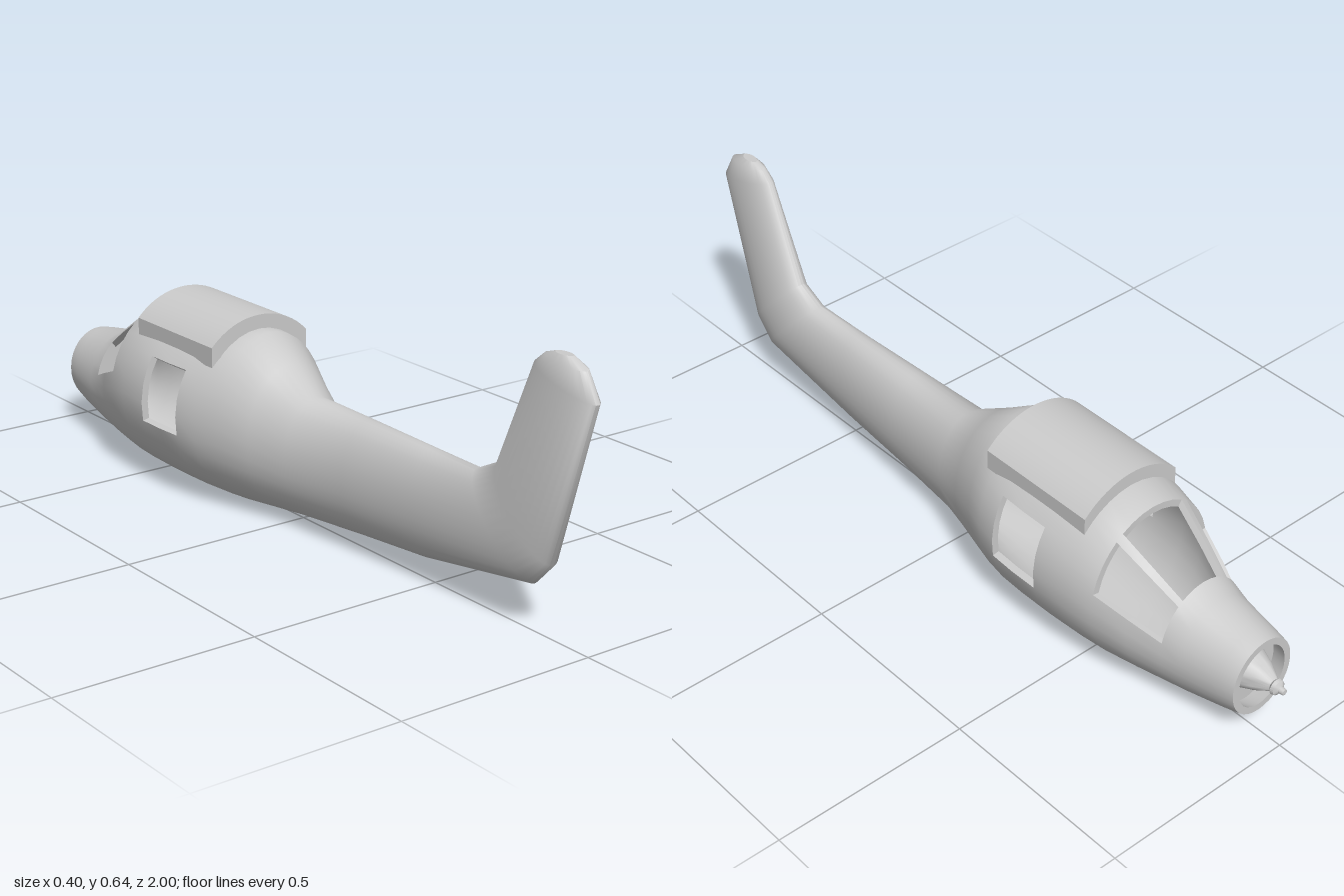
import * as THREE from 'three';
import { toCreasedNormals } from 'three/addons/utils/BufferGeometryUtils.js';

const WALL = 0.018;

// Hull stations, nose to fin tip: top z, top y, bottom z, bottom y, half width
const STATIONS = [
  [-0.93, 0.26, -0.93, 0.058, 0.09],
  [-0.89, 0.268, -0.89, 0.047, 0.098],
  [-0.79, 0.285, -0.79, 0.025, 0.115],
  [-0.74, 0.305, -0.74, 0.016, 0.125],
  [-0.66, 0.36, -0.66, 0.009, 0.154],
  [-0.575, 0.415, -0.575, 0.002, 0.181],
  [-0.505, 0.435, -0.505, 0, 0.193],
  [-0.405, 0.435, -0.405, 0, 0.2],
  [-0.33, 0.435, -0.33, 0, 0.2],
  [-0.26, 0.435, -0.26, 0, 0.196],
  [-0.2, 0.435, -0.2, 0.001, 0.184],
  [-0.14, 0.435, -0.14, 0.003, 0.165],
  [-0.05, 0.378, -0.05, 0.011, 0.13],
  [0.05, 0.32, 0.05, 0.02, 0.096],
  [0.25, 0.32, 0.25, 0.037, 0.078],
  [0.48, 0.318, 0.48, 0.055, 0.06],
  [0.635, 0.315, 0.83, 0.11, 0.053],
  [0.705, 0.35, 0.885, 0.168, 0.049],
  [0.81, 0.605, 1.0, 0.555, 0.033],
  [0.84, 0.63, 0.965, 0.618, 0.024],
  [0.87, 0.64, 0.92, 0.64, 0.012],
];
const CABIN_END = 13; // last station with an inner wall

// Angles measured from the roof line, including the window edges
const HALF = [0, 10, 20, 30, 37, 46, 56, 66, 76, 88, 100.7, 112, 124, 135, 147, 158, 169, 180];
const ANGLES = [...HALF.slice(1, -1).reverse().map(a => -a), ...HALF];
const N = ANGLES.length;

// Openings: z range, then range of angle on each side
const OPENINGS = [
  [-0.74, -0.575, 0, 30],      // centre windscreen
  [-0.74, -0.575, 37, 76],     // side windscreens
  [-0.405, -0.26, 56, 100.7],  // door windows
];

function section([tz, ty, bz, by, w], inset = 0) {
  const k = 1 - inset / (Math.hypot(tz - bz, ty - by) / 2);
  return ANGLES.map(deg => {
    const a = THREE.MathUtils.degToRad(deg), c = Math.cos(a) * k / 2;
    return new THREE.Vector3((w - inset) * Math.sin(a),
      (ty + by) / 2 + c * (ty - by), (tz + bz) / 2 + c * (tz - bz));
  });
}

function isOpen(i, j) {
  if (i < 0 || i >= CABIN_END) return false;
  const z = (STATIONS[i][0] + STATIONS[i + 1][0]) / 2;
  const next = j === N - 1 ? 191 : ANGLES[j + 1];
  const a = Math.abs((ANGLES[j] + next) / 2);
  return OPENINGS.some(([z0, z1, a0, a1]) => z > z0 && z < z1 && a > a0 && a < a1);
}

// Lofted skin that leaves the openings out
function skin(rows, inward) {
  const index = [];
  for (let i = 0; i < rows.length - 1; i++) for (let j = 0; j < N; j++) {
    if (isOpen(i, j)) continue;
    const k = (j + 1) % N;
    const a = i * N + j, b = i * N + k, c = a + N, d = b + N;
    index.push(...(inward ? [a, b, c, b, d, c] : [a, c, b, b, c, d]));
  }
  const geo = new THREE.BufferGeometry().setFromPoints(rows.flat());
  geo.setIndex(index);
  return toCreasedNormals(geo, 0.7);
}

function fromTriangles(points) {
  const geo = new THREE.BufferGeometry().setFromPoints(points);
  geo.computeVertexNormals();
  return geo;
}

const quad = (a, b, c, d) => [a, b, c, a, c, d];

// Flat plate filling one section
function plate(ring) {
  const mid = ring.reduce((s, p) => s.add(p), new THREE.Vector3()).divideScalar(N);
  return fromTriangles(ring.flatMap((p, j) => [mid, p, ring[(j + 1) % N]]));
}

export function createModel() {
  const group = new THREE.Group();
  const solid = new THREE.MeshStandardMaterial({ color: 0xcccccc });
  const thin = new THREE.MeshStandardMaterial({ color: 0xcccccc, side: THREE.DoubleSide });
  const add = (name, geo, mat = solid) => {
    const mesh = new THREE.Mesh(geo, mat);
    mesh.name = name;
    group.add(mesh);
    return mesh;
  };

  // Hull, boom and fin in one loft, with an inner cabin wall
  const outer = STATIONS.map(s => section(s));
  const inner = STATIONS.slice(0, CABIN_END + 1).map(s => section(s, WALL));
  add('fuselage', skin(outer, false));
  add('cabinLining', skin(inner, true));

  // Window reveals join the two walls around every opening
  const reveals = [];
  for (let i = 0; i < CABIN_END; i++) for (let j = 0; j < N; j++) {
    if (!isOpen(i, j)) continue;
    const k = (j + 1) % N;
    const edge = (i0, j0, i1, j1) =>
      reveals.push(...quad(outer[i0][j0], outer[i1][j1], inner[i1][j1], inner[i0][j0]));
    if (!isOpen(i - 1, j)) edge(i, j, i, k);
    if (!isOpen(i + 1, j)) edge(i + 1, j, i + 1, k);
    if (!isOpen(i, (j + N - 1) % N)) edge(i, j, i + 1, j);
    if (!isOpen(i, k)) edge(i, k, i + 1, k);
  }
  add('windowReveals', fromTriangles(reveals), thin);

  // Nose lip, the plate set back inside it, and the closed ends
  add('noseLip', fromTriangles(outer[0].flatMap((p, j) => {
    const k = (j + 1) % N;
    return quad(p, outer[0][k], inner[0][k], inner[0][j]);
  })), thin);
  add('nosePlate', plate(inner[1]), thin);
  add('rearBulkhead', plate(inner[CABIN_END]), thin);
  add('finTip', plate(outer[outer.length - 1]), thin);

  // Pointed spinner with a small knob
  const profile = [[0.052, 0], [0.036, 0.04], [0.018, 0.072], [0.014, 0.076], [0.02, 0.082],
    [0.018, 0.09], [0.009, 0.096], [0.007, 0.108], [0, 0.11]].map(p => new THREE.Vector2(...p));
  const spinner = add('spinner', toCreasedNormals(new THREE.LatheGeometry(profile, 24), 0.5));
  spinner.rotation.x = -Math.PI / 2;
  spinner.position.set(0, 0.159, -0.89);

  // Curved roof panel over the cabin
  const R = 0.193, half = Math.asin(0.14 / R);
  const roof = new THREE.Shape();
  roof.absarc(0, 0.47 - R, R, Math.PI / 2 - half, Math.PI / 2 + half, false);
  roof.absarc(0, 0.42 - R, R, Math.PI / 2 + half, Math.PI / 2 - half, true);
  roof.closePath();
  const panel = new THREE.ExtrudeGeometry(roof, { depth: 0.325, bevelEnabled: false, curveSegments: 12 });
  add('roofPanel', toCreasedNormals(panel, 0.5)).position.z = -0.505;

  return group;
}
